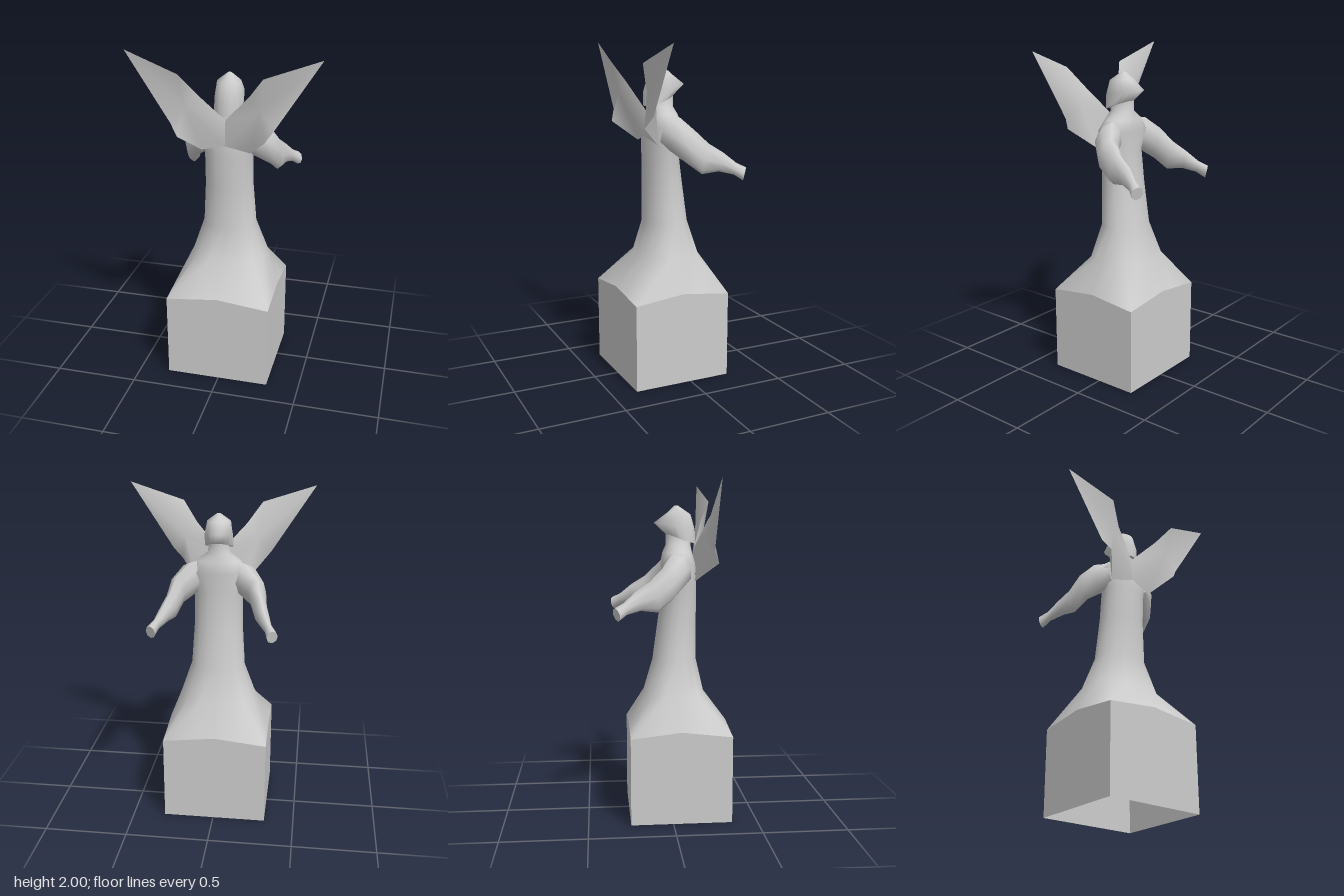
import * as THREE from 'three';

const stone = new THREE.MeshStandardMaterial({ color: 0xcccccc, side: THREE.DoubleSide });
stone.name = 'stone';
const N = 16;

// Flat-lying ring; p = squareness (2 round, Infinity square), tilt raises the -z side, taper narrows it
function ring(cx, y, cz, rx, rz, { p = 2, tilt = 0, taper = 0, lift = 0 } = {}) {
  return Array.from({ length: N }, (_, i) => {
    const a = (i / N) * Math.PI * 2, c = Math.cos(a), s = Math.sin(a);
    const m = p === Infinity ? Math.max(Math.abs(c), Math.abs(s))
      : Math.pow(Math.abs(c) ** p + Math.abs(s) ** p, 1 / p);
    const u = c / m, v = s / m;
    const wave = lift * (1 - Math.min(Math.abs(u), Math.abs(v)));
    return new THREE.Vector3(cx + rx * u * (1 - taper * Math.max(0, -v)), y - tilt * v + wave, cz + rz * v);
  });
}

// Skin through a list of rings, with optional end caps
function loft(rings, capStart = false, capEnd = false) {
  const n = rings[0].length, pts = rings.flat(), index = [];
  for (let r = 0; r < rings.length - 1; r++) {
    for (let i = 0; i < n; i++) {
      const a = r * n + i, b = r * n + (i + 1) % n;
      index.push(a, a + n, b, b, a + n, b + n);
    }
  }
  const cap = (ringPts, flip) => {
    const start = pts.length;
    const mid = ringPts.reduce((t, v) => t.add(v), new THREE.Vector3()).divideScalar(n);
    pts.push(...ringPts, mid);
    for (let i = 0; i < n; i++) {
      const a = start + i, b = start + (i + 1) % n;
      index.push(start + n, ...(flip ? [a, b] : [b, a]));
    }
  };
  if (capStart) cap(rings[0], true);
  if (capEnd) cap(rings[rings.length - 1], false);
  return build(pts, index);
}

function build(pts, index) {
  const g = new THREE.BufferGeometry().setFromPoints(pts);
  g.setIndex(index);
  g.computeVertexNormals();
  return g;
}

function mirrored(geo) {
  const pos = geo.attributes.position, pts = [];
  for (let i = 0; i < pos.count; i++) pts.push(new THREE.Vector3(-pos.getX(i), pos.getY(i), pos.getZ(i)));
  return build(pts, Array.from(geo.index.array).reverse());
}

function armGeometry() {
  // centre, half width, half height from shoulder to hand
  const sections = [
    [0.08, 1.50, 0.07, 0.09, 0.09],
    [0.16, 1.475, 0.03, 0.085, 0.10],
    [0.235, 1.41, -0.03, 0.06, 0.095],
    [0.26, 1.34, -0.11, 0.045, 0.088],
    [0.285, 1.32, -0.20, 0.04, 0.055],
    [0.32, 1.28, -0.275, 0.025, 0.034],
    [0.345, 1.25, -0.325, 0.036, 0.038],
  ];
  const rings = sections.map(([x, y, z, w, h]) => Array.from({ length: 8 }, (_, i) => {
    const a = (i / 8) * Math.PI * 2, c = Math.cos(a) * w, s = Math.sin(a) * h;
    return new THREE.Vector3(x + 0.85 * c, y + s, z + 0.52 * c - 0.25 * s);
  }));
  return loft(rings, true, true);
}

function wingGeometry() {
  // outline from the spine over the top to the tip and back under
  const outline = [
    [0, 1.61, 0.15], [0.15, 1.77, 0.21], [0.24, 1.89, 0.272], [0.555, 2.0, 0.235],
    [0.30, 1.60, 0.235], [0.25, 1.53, 0.268], [0.145, 1.42, 0.14], [0, 1.46, 0.165],
  ].map((p) => new THREE.Vector3(...p));
  const n = outline.length;
  const front = new THREE.Vector3(0.215, 1.70, 0.235), back = new THREE.Vector3(0.22, 1.69, 0.185);
  const index = [];
  for (let i = 0; i < n; i++) {
    const j = (i + 1) % n;
    index.push(n, j, i);               // front fan
    index.push(2 * n + 1, n + 1 + i, n + 1 + j); // back fan
  }
  return build([...outline, front, ...outline, back], index);
}

export function createModel() {
  const group = new THREE.Group();
  const add = (name, geo) => {
    const mesh = new THREE.Mesh(geo, stone);
    mesh.name = name;
    group.add(mesh);
  };
  const square = { p: Infinity, lift: 0.035 };

  // Square plinth, open underneath, with a wavy upper edge
  const walls = loft([
    ring(-0.0075, 0, 0.05, 0.3125, 0.30, { p: Infinity }),
    ring(-0.0075, 0.52, 0.05, 0.3125, 0.30, square),
  ]).toNonIndexed();
  walls.computeVertexNormals();
  add('plinth', walls);

  // Flared robe, torso, shoulders and neck
  add('robe', loft([
    ring(-0.0075, 0.52, 0.05, 0.3125, 0.30, square),
    ring(0, 0.74, 0.027, 0.232, 0.185, { p: 2.4 }),
    ring(0, 0.94, 0.032, 0.163, 0.133),
    ring(0, 1.20, 0.05, 0.146, 0.115),
    ring(0, 1.40, 0.063, 0.146, 0.102),
    ring(0, 1.52, 0.053, 0.18, 0.103, { p: 2.4 }),
    ring(0, 1.585, 0.05, 0.13, 0.09),
    ring(0, 1.63, 0.055, 0.065, 0.075),
    ring(0, 1.70, 0.055, 0.06, 0.075),
  ], false, true));

  // Hood with a jutting brim
  add('hood', loft([
    ring(0, 1.665, 0.07, 0.085, 0.09, { tilt: 0.03, taper: 0.35 }),
    ring(0, 1.74, 0.033, 0.082, 0.123, { tilt: 0.02, taper: 0.2, p: 2.6 }),
    ring(0, 1.815, 0.06, 0.07, 0.07, { tilt: 0.005 }),
    ring(0, 1.86, 0.045, 0.012, 0.012),
  ], true, true));

  // Arms and wings, mirrored
  for (const [name, geo] of [['Arm', armGeometry()], ['Wing', wingGeometry()]]) {
    add('left' + name, geo);
    add('right' + name, mirrored(geo));
  }
  return group;
}
